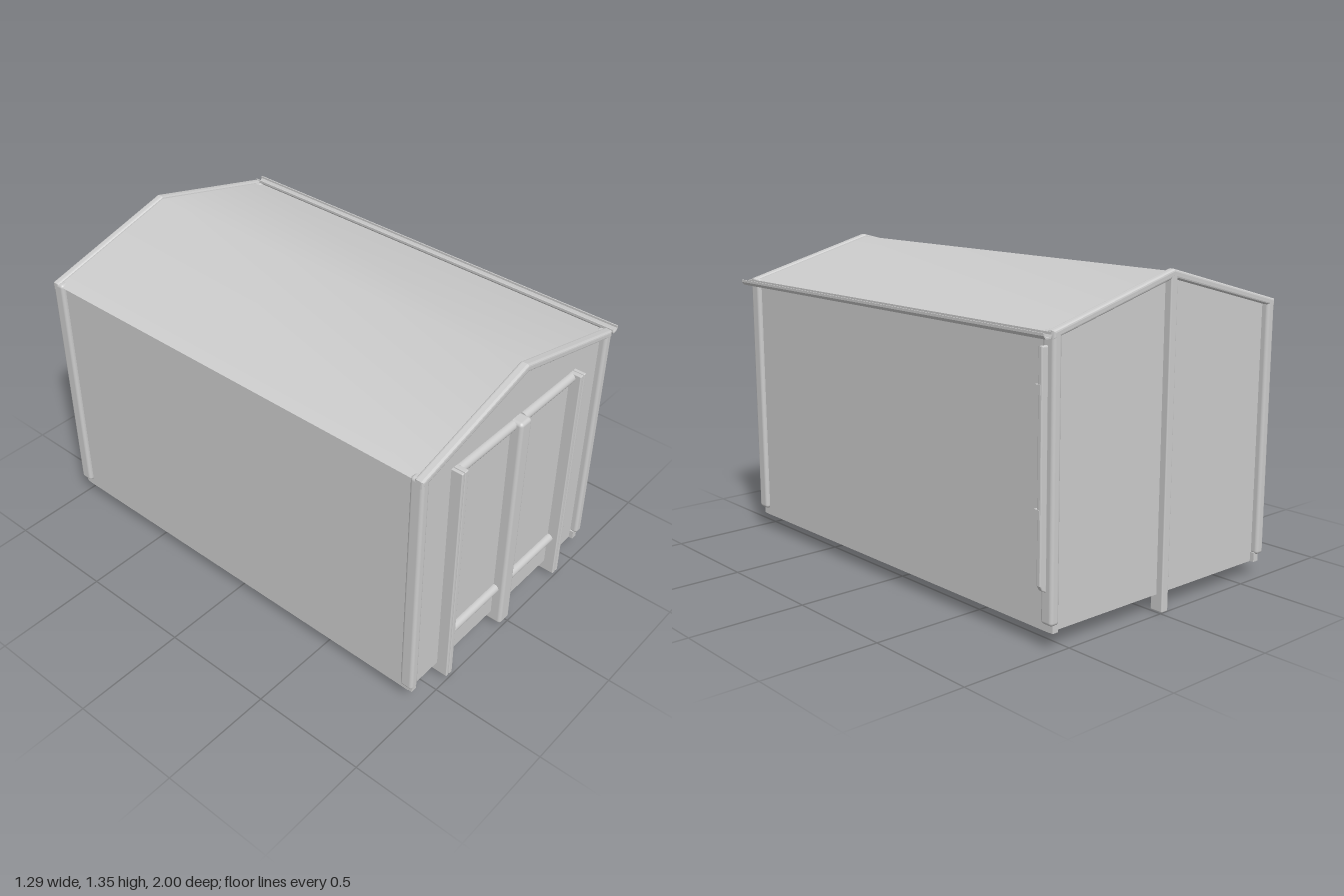
import * as THREE from 'three';
import { RoundedBoxGeometry } from 'three/addons/geometries/RoundedBoxGeometry.js';

export function createModel() {
  const model = new THREE.Group();
  model.name = 'shed';
  const shed = new THREE.Group();
  shed.name = 'shedBody';
  shed.position.x = -0.025; // the gutter side makes the whole slightly lopsided
  model.add(shed);

  const solid = new THREE.MeshStandardMaterial({ color: 0xcccccc });
  const sheet = new THREE.MeshStandardMaterial({ color: 0xcccccc, side: THREE.DoubleSide });

  const add = (name, geometry, material = solid) => {
    const mesh = new THREE.Mesh(geometry, material);
    mesh.name = name;
    shed.add(mesh);
    return mesh;
  };
  // Box given by its limits, with optional rounded edges
  const block = (name, x0, x1, y0, y1, z0, z1, r = 0) => {
    const size = [x1 - x0, y1 - y0, z1 - z0];
    const g = r ? new RoundedBoxGeometry(...size, 3, r) : new THREE.BoxGeometry(...size);
    return add(name, g.translate((x0 + x1) / 2, (y0 + y1) / 2, (z0 + z1) / 2));
  };
  const outline = (pts) => new THREE.Shape(pts.map(([x, y]) => new THREE.Vector2(x, y)));

  const W = 0.6, BASE = 0.07, EAVE = 1.172, RIDGE = 1.336;
  const FRONT = 0.95, BACK = -0.97;

  // Open-bottomed shell: gable walls and side walls
  const gable = outline([[-W, BASE], [W, BASE], [W, EAVE], [0, RIDGE - 0.005], [-W, EAVE]]);
  add('frontWall', new THREE.ShapeGeometry(gable), sheet).position.z = FRONT;
  const backWall = add('backWall', new THREE.ShapeGeometry(gable), sheet);
  backWall.position.z = BACK;
  for (const s of [-1, 1]) {
    const wall = add(s > 0 ? 'leftWall' : 'rightWall',
      new THREE.PlaneGeometry(FRONT - BACK, EAVE - BASE), sheet);
    wall.rotation.y = s * Math.PI / 2;
    wall.position.set(s * W, (EAVE + BASE) / 2, (FRONT + BACK) / 2);
  }

  // Roof, shaded smoothly over the ridge
  const roof = new THREE.PlaneGeometry(2 * W + 0.03, 1.95, 2, 1).rotateX(-Math.PI / 2);
  const p = roof.attributes.position;
  for (let i = 0; i < p.count; i++) p.setY(i, Math.abs(p.getX(i)) < 0.01 ? RIDGE : EAVE);
  roof.computeVertexNormals();
  add('roof', roof.translate(0, 0, -0.01), sheet);

  // Rounded trims following both gable edges
  const chevron = outline([[-0.618, 1.18], [-0.618, 1.148], [0, 1.311], [0.618, 1.148],
    [0.618, 1.18], [0, 1.346]]);
  for (const [name, z0, z1] of [['frontGableTrim', 0.94, 0.98], ['backGableTrim', -1, -0.965]]) {
    const b = 0.01;
    const g = new THREE.ExtrudeGeometry(chevron, { depth: z1 - z0 - 2 * b, bevelEnabled: true,
      bevelThickness: b, bevelSize: b, bevelOffset: -b, bevelSegments: 3 });
    add(name, g.translate(0, 0, z0 + b));
  }

  // Corner posts with short stubs beneath
  for (const s of [-1, 1]) {
    for (const [end, z0, z1] of [['front', 0.92, 0.98], ['back', -1, -0.94]]) {
      const x0 = s > 0 ? 0.575 : -0.618;
      block(end + 'CornerPost', x0, x0 + 0.043, 0.102, 1.18, z0, z1, 0.014);
      const x1 = s > 0 ? 0.57 : -0.598;
      block(end + 'CornerStub', x1, x1 + 0.028, BASE, 0.11, z0 + 0.012, z1 - 0.012);
    }
  }

  // Double doors: paired side posts, centre post and round rails
  for (const s of [-1, 1]) {
    for (const [a, b] of [[0.394, 0.409], [0.37, 0.391]]) {
      block('doorSidePost', Math.min(s * a, s * b), Math.max(s * a, s * b),
        0.02, 1.095, 0.92, 1, 0.004);
    }
    for (const y of [0.212, 1.074]) {
      const rail = new THREE.CylinderGeometry(0.021, 0.021, 0.34, 20).rotateZ(Math.PI / 2);
      add('doorRail', rail.translate(s * 0.203, y, 0.955));
    }
  }
  block('doorCentrePost', -0.035, 0.035, 0.02, 1.095, 0.92, 1, 0.015);

  // Middle post of the back wall
  block('backPost', -0.018, 0.018, 0, 1.325, -1, -0.94, 0.005);

  // Gutter: open channel along the left eave
  const channel = outline([[0.626, 1.178], [0.626, 1.168], [0.634, 1.155], [0.658, 1.155],
    [0.668, 1.168], [0.668, 1.178], [0.663, 1.178], [0.663, 1.169], [0.656, 1.16],
    [0.636, 1.16], [0.631, 1.169], [0.631, 1.178]]);
  add('gutter', new THREE.ExtrudeGeometry(channel, { depth: 1.975, bevelEnabled: false })
    .translate(0, 0, -1));

  // Downpipe with a slanted outlet and two brackets
  const pipe = outline([[0.63, 1.13], [0.63, 0.235], [0.65, 0.245], [0.662, 0.265], [0.662, 1.13]]);
  add('downpipe', new THREE.ExtrudeGeometry(pipe, { depth: 0.011, bevelEnabled: true,
    bevelThickness: 0.005, bevelSize: 0.005, bevelOffset: -0.005, bevelSegments: 3 })
    .translate(0, 0, -0.982));
  for (const y of [0.53, 0.978]) {
    block('pipeBracket', 0.638, 0.665, y - 0.018, y + 0.018, -0.982, -0.954);
  }

  return model;
}
